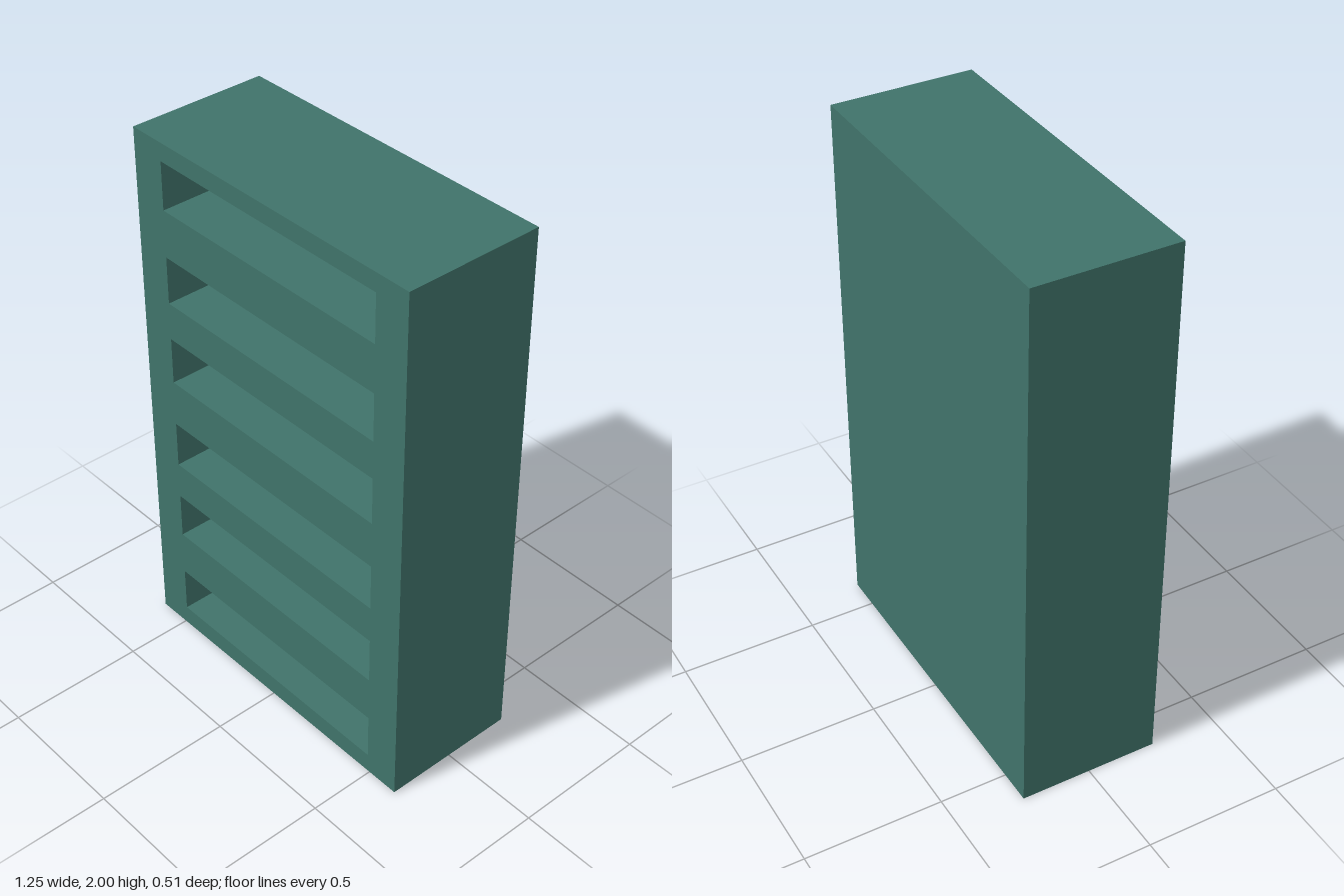
import * as THREE from 'three';
import { mergeGeometries } from 'three/addons/utils/BufferGeometryUtils.js';

const W = 1.246, H = 2, D = 0.51;            // outer cabinet
const SLOT_W = 0.98, SLOT_H = 0.176, SLOT_D = 0.44;
const TIERS = 3, TIER_H = H / TIERS;
const SLOT_CENTRES = [0.162, 0.512];         // slot heights within each tier

// Box without its front (+z) face; inward turns the walls to face the inside
function openBox(w, h, d, inward) {
  const geo = new THREE.BoxGeometry(w, h, d);
  const index = Array.from(geo.index.array);
  index.splice(24, 6);
  if (inward) {
    index.reverse();
    const n = geo.attributes.normal;
    for (let i = 0; i < n.count; i++) n.setXYZ(i, -n.getX(i), -n.getY(i), -n.getZ(i));
  }
  geo.setIndex(index);
  geo.clearGroups();
  return geo;
}

// Rectangle outline centred on x = 0
function rect(path, w, y0, y1) {
  path.moveTo(-w / 2, y0);
  path.lineTo(w / 2, y0);
  path.lineTo(w / 2, y1);
  path.lineTo(-w / 2, y1);
  path.closePath();
  return path;
}

export function createModel() {
  const model = new THREE.Group();
  model.name = 'slottedCabinet';
  const green = new THREE.MeshStandardMaterial({ color: 0x40736a });
  green.name = 'dull green';

  // Outer shell, front face with slot openings, and recessed pockets
  const front = rect(new THREE.Shape(), W, 0, H);
  const parts = [openBox(W, H, D, false).translate(0, H / 2, 0)];
  for (let tier = 0; tier < TIERS; tier++) {
    for (const centre of SLOT_CENTRES) {
      const y = tier * TIER_H + centre;
      front.holes.push(rect(new THREE.Path(), SLOT_W, y - SLOT_H / 2, y + SLOT_H / 2));
      parts.push(openBox(SLOT_W, SLOT_H, SLOT_D, true).translate(0, y, (D - SLOT_D) / 2));
    }
  }
  parts.push(new THREE.ShapeGeometry(front).translate(0, 0, D / 2));
  parts.forEach((part) => part.clearGroups());

  const cabinet = new THREE.Mesh(mergeGeometries(parts), green);
  cabinet.name = 'cabinet';
  model.add(cabinet);
  return model;
}
